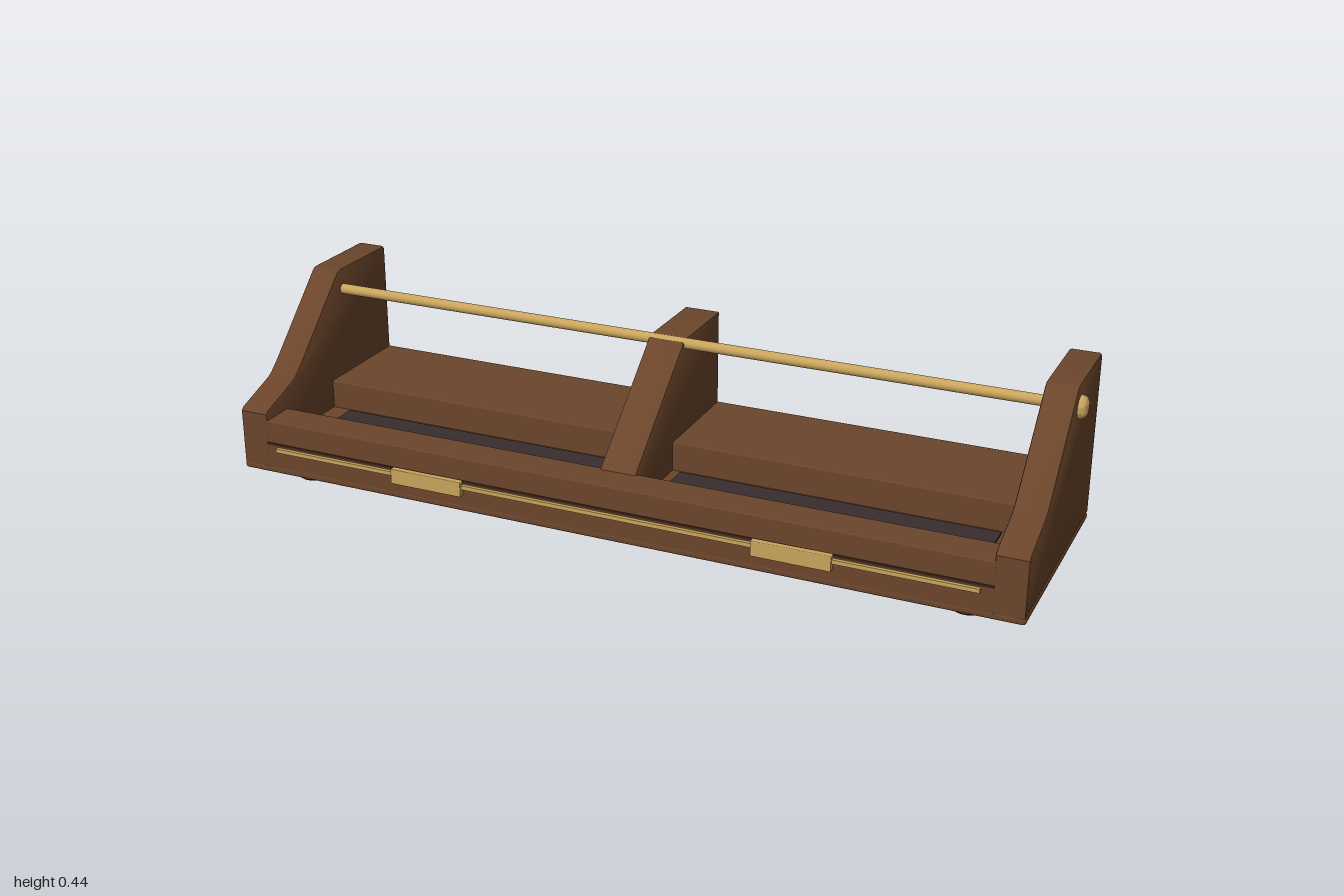
import * as THREE from 'three';
import { RoundedBoxGeometry } from 'three/addons/geometries/RoundedBoxGeometry.js';
import { toCreasedNormals } from 'three/addons/utils/BufferGeometryUtils.js';

const mat = (name, color) => {
  const m = new THREE.MeshStandardMaterial({ color });
  m.name = name;
  return m;
};

export function createModel() {
  const wood = mat('walnut wood', 0x6b452b);
  const seam = mat('dark seam', 0x3a2417);
  const brass = mat('brass', 0xc8a45c);
  const felt = mat('dark felt', 0x382d2f);
  const rubber = mat('black rubber', 0x1e1c1b);

  const model = new THREE.Group();
  model.name = 'tabletopRack';

  const add = (name, geometry, material, x = 0, y = 0, z = 0) => {
    const mesh = new THREE.Mesh(geometry, material);
    mesh.name = name;
    mesh.position.set(x, y, z);
    model.add(mesh);
    return mesh;
  };

  // Box given by its limits, with optional rounded edges
  const box = (name, material, [x0, x1], [y0, y1], [z0, z1], radius = 0) => {
    const size = [x1 - x0, y1 - y0, z1 - z0];
    const geometry = radius ? new RoundedBoxGeometry(...size, 2, radius) : new THREE.BoxGeometry(...size);
    return add(name, geometry, material, (x0 + x1) / 2, (y0 + y1) / 2, (z0 + z1) / 2);
  };

  // Upright board from a (z, y) outline, centred on x, with eased edges
  const board = (points, width, bevel) => {
    const shape = new THREE.Shape(points.map(([z, y]) => new THREE.Vector2(z, y)));
    const geometry = new THREE.ExtrudeGeometry(shape, {
      depth: width - 2 * bevel, bevelEnabled: true, bevelThickness: bevel,
      bevelSize: bevel, bevelOffset: -bevel, bevelSegments: 2,
    });
    geometry.translate(0, 0, bevel - width / 2);
    geometry.rotateY(-Math.PI / 2);
    return toCreasedNormals(geometry, 0.6);
  };

  // Base slab, floor, front rail and rear shelf
  box('baseSlab', wood, [-0.98, 0.98], [0.03, 0.047], [-0.29, 0.28], 0.006);
  box('trayFloor', wood, [-0.91, 0.91], [0.04, 0.094], [-0.02, 0.2]);
  box('frontRail', wood, [-0.91, 0.91], [0.04, 0.166], [0.19, 0.279], 0.003);
  box('rearShelf', wood, [-0.91, 0.91], [0.04, 0.166], [-0.289, -0.01], 0.003);

  // Sloped end panels
  const side = [
    [0.28, 0.045], [0.28, 0.182], [0.273, 0.19], [0.162, 0.228], [0.148, 0.236], [0.12, 0.26],
    [-0.06, 0.436], [-0.067, 0.442], [-0.078, 0.445], [-0.284, 0.445], [-0.29, 0.439], [-0.29, 0.045],
  ];
  // Central divider
  const divider = [[0.2, 0.09], [0.2, 0.166], [-0.07, 0.395], [-0.085, 0.402], [-0.289, 0.402], [-0.289, 0.09]];
  add('divider', board(divider, 0.09, 0.003), wood);

  // Domed rod end, turned around the y axis
  const knobProfile = [[0, 0], [0.027, 0], [0.027, 0.011], [0.024, 0.018], [0.016, 0.023], [0, 0.025]]
    .map(([r, h]) => new THREE.Vector2(r, h));
  const knobGeometry = toCreasedNormals(new THREE.LatheGeometry(knobProfile, 32), 0.7);

  const footProfile = [[0, 0.005], [0.042, 0.005], [0.046, 0.016], [0.049, 0.028], [0.049, 0.033], [0, 0.033]]
    .map(([r, h]) => new THREE.Vector2(r, h));
  const footGeometry = toCreasedNormals(new THREE.LatheGeometry(footProfile, 32), 0.6);

  for (const s of [-1, 1]) {
    const end = s > 0 ? 'left' : 'right';
    add(end + 'EndPanel', board(side, 0.075, 0.006), wood, s * 0.9425);
    add(end + 'RodKnob', knobGeometry, brass, s * 0.975, 0.39, -0.085).rotation.z = -s * Math.PI / 2;

    // Felt liner in each compartment
    const liner = [s * 0.07, s * 0.85].sort((a, b) => a - b);
    box(end + 'Liner', felt, liner, [0.092, 0.099], [0.003, 0.184]);

    // Brass clasp on the front strip
    box(end + 'Clasp', brass, [s * 0.458 - 0.094, s * 0.458 + 0.094], [0.072, 0.11], [0.275, 0.294], 0.002);

    // Feet with rubber pads
    for (const z of [0.19, -0.2]) {
      add(end + 'Foot', footGeometry, brass, s * 0.835, 0, z);
      add(end + 'FootPad', new THREE.CylinderGeometry(0.042, 0.039, 0.006, 32), rubber, s * 0.835, 0.003, z);
    }
  }

  // Crossbar
  add('crossRod', new THREE.CylinderGeometry(0.013, 0.013, 1.95, 24), brass, 0, 0.391, -0.085)
    .rotation.z = Math.PI / 2;

  // Front trim strip and the seams front and back
  box('frontStrip', brass, [-0.88, 0.88], [0.09, 0.1], [0.275, 0.288]);
  box('frontSeam', seam, [-0.91, 0.91], [0.104, 0.11], [0.276, 0.281]);
  box('backSeam', seam, [-0.9, 0.9], [0.107, 0.113], [-0.291, -0.286]);

  return model;
}
